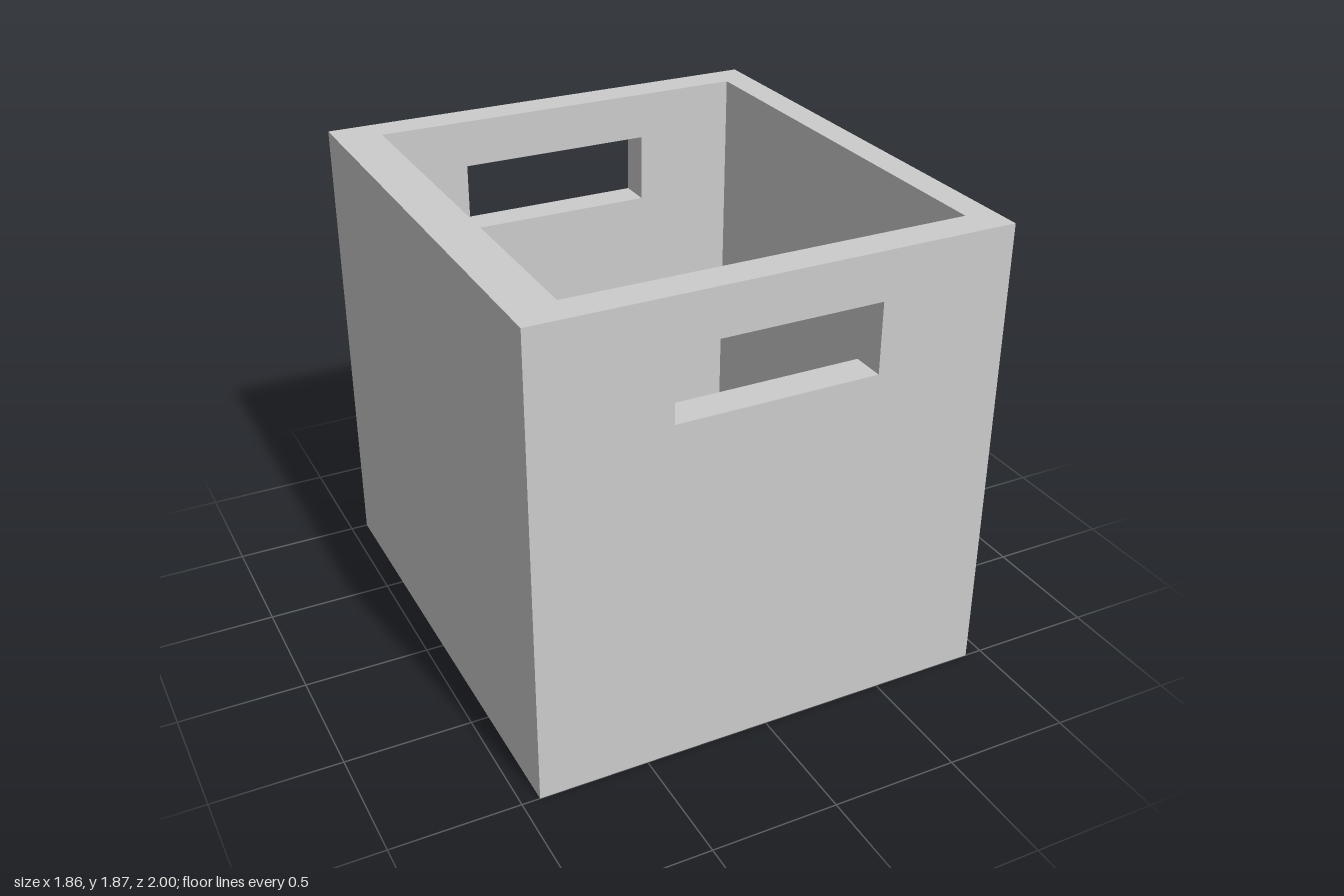
import * as THREE from 'three';

const X = 0.93, Z = 1, H = 1.87;              // outer half width, half depth, height
const IX0 = -0.75, IX1 = 0.815, IZ = 0.865;   // cavity limits
const FLOOR = 0.13;
const HANDLE = [-0.4, 1.4, 0.4, 1.68];        // x0, y0, x1, y1 of the grip opening
const Q = Math.PI / 2;

const corners = ([x0, y0, x1, y1]) => [[x0, y0], [x1, y0], [x1, y1], [x0, y1]]
  .map(([x, y]) => new THREE.Vector2(x, y));

export function createModel() {
  const model = new THREE.Group();
  model.name = 'storageBin';
  const material = new THREE.MeshStandardMaterial({ color: 0xcccccc, flatShading: true });

  // A flat rectangular face, drawn in XY facing +z, then turned and moved into place
  function face(parent, name, rect, { rx = 0, ry = 0, x = 0, y = 0, z = 0, hole = null }) {
    const shape = new THREE.Shape(corners(rect));
    if (hole) shape.holes.push(new THREE.Path(corners(hole).reverse()));
    const mesh = new THREE.Mesh(new THREE.ShapeGeometry(shape), material);
    mesh.name = name;
    mesh.rotation.set(rx, ry, 0);
    mesh.position.set(x, y, z);
    parent.add(mesh);
  }
  function group(name) {
    const g = new THREE.Group();
    g.name = name;
    model.add(g);
    return g;
  }

  // Outer shell
  const outer = group('outerShell');
  face(outer, 'frontOuter', [-X, 0, X, H], { z: Z, hole: HANDLE });
  face(outer, 'backOuter', [-X, 0, X, H], { z: -Z, ry: Math.PI, hole: HANDLE });
  for (const s of [1, -1])
    face(outer, s > 0 ? 'leftOuter' : 'rightOuter', [-Z, 0, Z, H], { x: s * X, ry: s * Q });
  face(outer, 'underside', [-X, -Z, X, Z], { rx: Q });

  // Flat top rim around the opening
  face(model, 'rim', [-X, -Z, X, Z], { y: H, rx: -Q, hole: [IX0, -IZ, IX1, IZ] });

  // Cavity
  const inner = group('cavity');
  face(inner, 'frontInner', [-IX1, FLOOR, -IX0, H], { z: IZ, ry: Math.PI, hole: HANDLE });
  face(inner, 'backInner', [IX0, FLOOR, IX1, H], { z: -IZ, hole: HANDLE });
  face(inner, 'leftInner', [-IZ, FLOOR, IZ, H], { x: IX1, ry: -Q });
  face(inner, 'rightInner', [-IZ, FLOOR, IZ, H], { x: IX0, ry: Q });
  face(inner, 'floor', [IX0, -IZ, IX1, IZ], { y: FLOOR, rx: -Q });

  // Linings of the two grip openings
  const [hx0, hy0, hx1, hy1] = HANDLE;
  for (const [name, z0, z1] of [['frontHandle', IZ, Z], ['backHandle', -Z, -IZ]]) {
    const g = group(name);
    face(g, 'sill', [hx0, -z1, hx1, -z0], { y: hy0, rx: -Q });
    face(g, 'lintel', [hx0, z0, hx1, z1], { y: hy1, rx: Q });
    face(g, 'rightJamb', [-z1, hy0, -z0, hy1], { x: hx0, ry: Q });
    face(g, 'leftJamb', [z0, hy0, z1, hy1], { x: hx1, ry: -Q });
  }
  return model;
}
